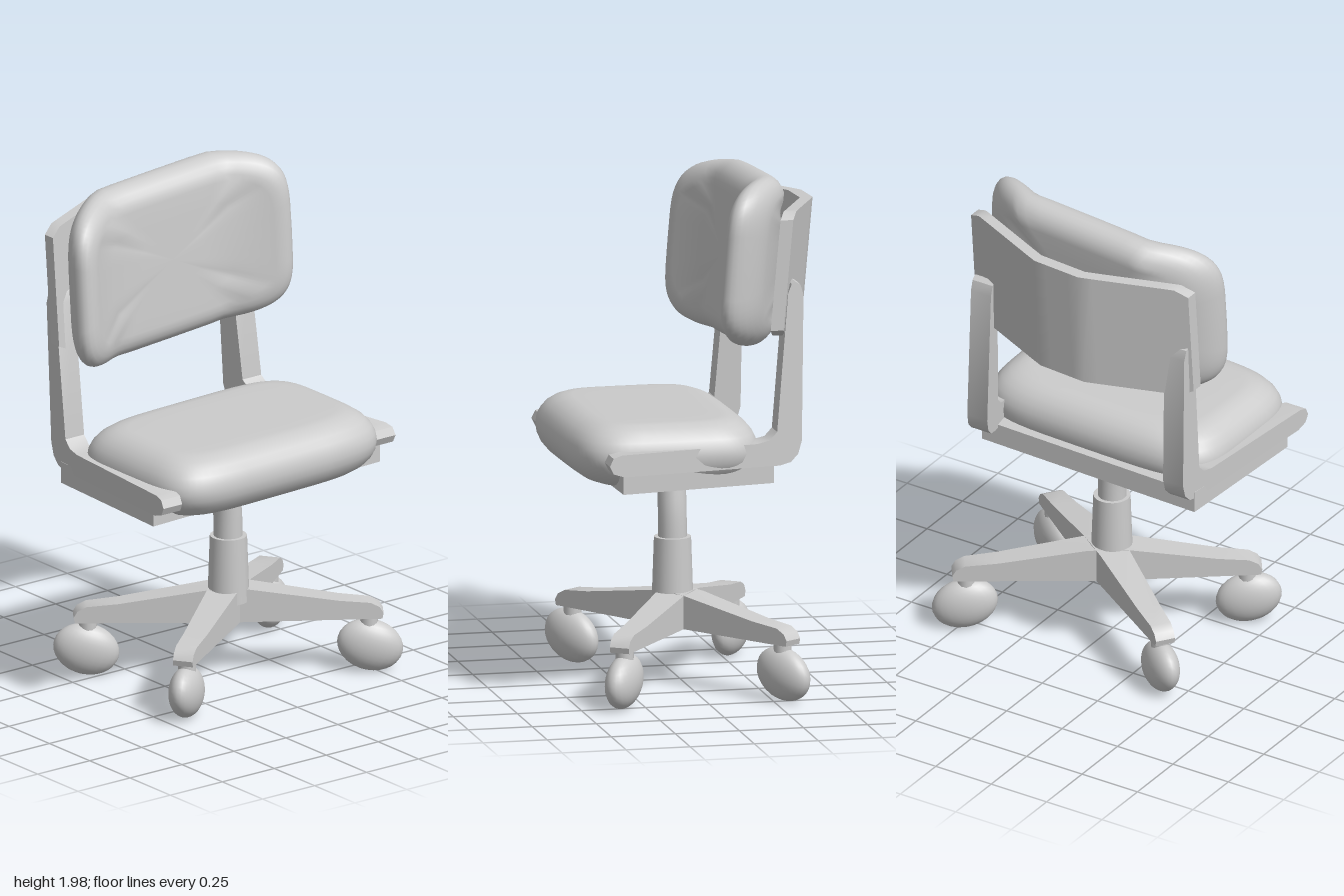
import * as THREE from 'three';
import { mergeVertices, toCreasedNormals } from 'three/addons/utils/BufferGeometryUtils.js';

const material = new THREE.MeshStandardMaterial({ color: 0xcccccc });

function add(parent, name, geometry) {
  const mesh = new THREE.Mesh(geometry, material);
  mesh.name = name;
  parent.add(mesh);
  return mesh;
}

// Move every vertex by a rule, then rebuild the normals
function warp(geometry, rule) {
  const p = geometry.attributes.position;
  const v = new THREE.Vector3();
  for (let i = 0; i < p.count; i++) {
    rule(v.fromBufferAttribute(p, i));
    p.setXYZ(i, v.x, v.y, v.z);
  }
  geometry.computeVertexNormals();
  return geometry;
}

// Padded slab in the xy plane: squarish rings that roll over a rounded rim
function pillow(a, b, d, rim) {
  const N = 64, ARC = 12;
  const rows = [[0, rim, d], [0.35, rim, d], [0.7, rim, d]];
  for (let k = 0; k <= ARC; k++) {
    const t = Math.PI * k / ARC;
    rows.push([1, rim * (1 - Math.sin(t)), d * Math.cos(t)]);
  }
  rows.push([0.7, rim, -d], [0.35, rim, -d], [0, rim, -d]);
  const power = (c) => Math.sign(c) * Math.abs(c) ** 0.42;
  const pos = [], index = [];
  rows.forEach(([s, inset, z], i) => {
    for (let j = 0; j < N; j++) {
      const t = 2 * Math.PI * j / N;
      pos.push(s * (a - inset) * power(Math.cos(t)), s * (b - inset) * power(Math.sin(t)), z);
      if (i === rows.length - 1) continue;
      const k = (j + 1) % N;
      const p = i * N + j, q = p + N, r = (i + 1) * N + k, u = i * N + k;
      index.push(p, q, r, p, r, u);
    }
  });
  const geometry = new THREE.BufferGeometry();
  geometry.setAttribute('position', new THREE.Float32BufferAttribute(pos, 3));
  geometry.setIndex(index);
  return mergeVertices(geometry);
}

const polygon = (points) => new THREE.Shape(points.map(([x, y]) => new THREE.Vector2(x, y)));
const extrude = (points, depth) =>
  new THREE.ExtrudeGeometry(polygon(points), { depth, bevelEnabled: false });

export function createModel() {
  const chair = new THREE.Group();
  chair.name = 'officeChair';

  // Seat cushion, a little higher on its left
  const seat = pillow(0.515, 0.365, 0.122, 0.13).rotateX(-Math.PI / 2);
  add(chair, 'seatCushion', warp(seat, (v) => {
    v.y += 0.955 + 0.025 * v.x;
    v.x -= 0.025;
    v.z += 0.125;
  }));

  // Board under the seat
  const board = extrude([[-0.57, -0.34], [0.52, -0.34], [0.42, 0.27], [-0.54, 0.27]], 0.085);
  board.rotateX(-Math.PI / 2);
  add(chair, 'seatBoard', warp(board, (v) => { v.y += 0.83 + 0.025 * v.x; }));

  // Back cushion: flat middle, sides bent forward, leaning back and rising to its left
  add(chair, 'backCushion', warp(pillow(0.512, 0.33, 0.082, 0.09), (v) => {
    const bend = Math.max(0, Math.abs(v.x) - 0.27) * 0.57;
    v.z += -0.262 + bend - 0.08 * v.y;
    v.y += 1.638 + 0.08 * v.x;
    v.x -= 0.07;
  }));

  // Curved shell behind the back cushion, with clipped corners
  const shell = new THREE.BoxGeometry(0.98, 0.48, 0.05, 20, 1, 1);
  warp(shell, (v) => {
    const d = Math.abs(v.x);
    if (d > 0.44) v.y *= 1 - (d - 0.44) * 2.2;
    v.z += -0.465 + Math.max(0, d - 0.1) * 0.42 - 0.09 * v.y;
    v.y += 1.615 + 0.06 * v.x;
    v.x -= 0.07;
  });
  add(chair, 'backShell', toCreasedNormals(shell, 0.6));

  // L-shaped brackets from the seat sides up to the shell; profile is (z, y)
  const bracketProfile = [
    [0.34, 0.915], [0.385, 0.93], [0.4, 0.96], [0.385, 0.99], [0.35, 1.0],
    [-0.2, 1.0], [-0.25, 1.01], [-0.28, 1.04], [-0.33, 1.57], [-0.345, 1.605],
    [-0.36, 1.612], [-0.38, 1.6], [-0.392, 1.56], [-0.38, 1.0], [-0.365, 0.95],
    [-0.335, 0.92], [-0.29, 0.91],
  ];
  const bracket = (name, rule) => {
    const geometry = extrude(bracketProfile, 0.09).rotateY(-Math.PI / 2);
    add(chair, name, toCreasedNormals(warp(geometry, rule), 0.6));
  };
  bracket('leftBracket', (v) => {
    v.x += 0.42 + 0.17 * (v.z + 0.35) - 0.04 * (v.y - 1);
  });
  bracket('rightBracket', (v) => {
    v.x += 0.09 - 0.54 - 0.085 * (v.z + 0.3) - 0.025 * (v.y - 1);
    v.y -= 0.04;
    v.z += 0.04;
  });

  // Slightly bent gas column in its sleeve
  const path = new THREE.CatmullRomCurve3([
    new THREE.Vector3(0.027, 0.5, 0.035),
    new THREE.Vector3(0.024, 0.66, 0.035),
    new THREE.Vector3(0.012, 0.76, 0.035),
    new THREE.Vector3(-0.002, 0.86, 0.035),
  ]);
  add(chair, 'column', new THREE.TubeGeometry(path, 12, 0.055, 20));
  add(chair, 'columnSleeve', new THREE.CylinderGeometry(0.071, 0.08, 0.26, 20))
    .position.set(0.028, 0.44, 0.035);

  // Four-legged base; each leg points along local +x
  const base = new THREE.Group();
  base.name = 'base';
  base.position.set(0.04, 0, 0.018);
  chair.add(base);
  add(base, 'hub', new THREE.CylinderGeometry(0.07, 0.06, 0.11, 12)).position.y = 0.29;

  const legProfile = [
    [0, 0.23], [0.585, 0.228], [0.59, 0.25], [0.575, 0.275], [0.54, 0.293],
    [0.42, 0.305], [0.08, 0.36], [0, 0.365],
  ];
  for (const sx of [1, -1]) {
    for (const sz of [1, -1]) {
      const leg = new THREE.Group();
      leg.name = (sz > 0 ? 'front' : 'back') + (sx > 0 ? 'Left' : 'Right') + 'Leg';
      leg.rotation.y = -Math.atan2(0.31 * sz, 0.44 * sx);
      base.add(leg);
      const beam = extrude(legProfile, 1).translate(0, 0, -0.5);
      warp(beam, (v) => { v.z *= 0.125 - 0.08 * v.x; });
      add(leg, 'legBeam', toCreasedNormals(beam, 0.6));
      add(leg, 'casterStem', new THREE.CylinderGeometry(0.035, 0.035, 0.08, 12))
        .position.set(0.535, 0.2, 0);
      const wheel = add(leg, 'casterWheel', new THREE.SphereGeometry(1, 24, 16));
      wheel.scale.set(0.128, 0.1, 0.062);
      wheel.position.set(0.54, 0.112, 0);
      wheel.rotation.z = -0.3 * sx;
    }
  }
  return chair;
}
